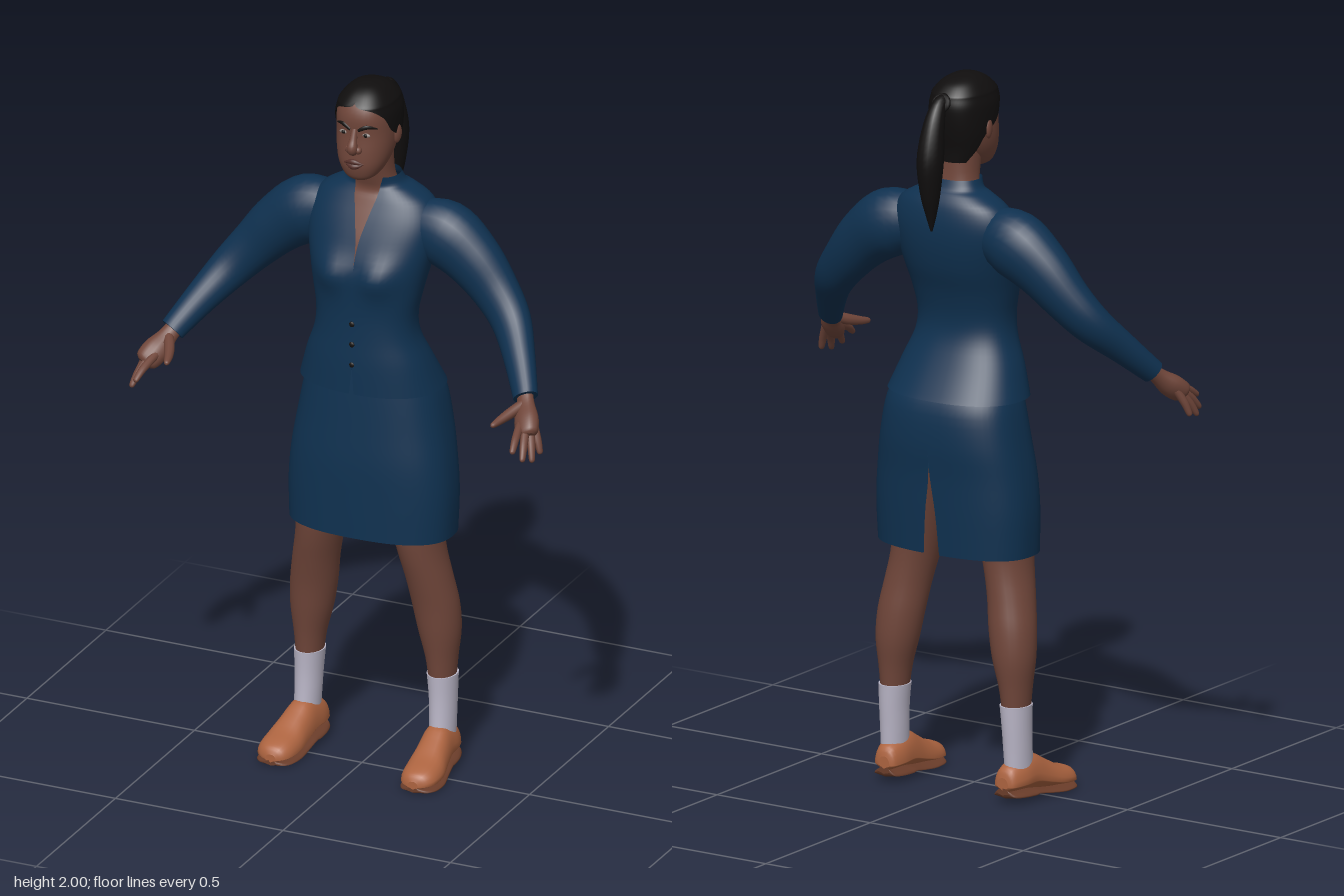
import * as THREE from 'three';

const V = (x, y, z) => new THREE.Vector3(x, y, z);

// Smoothly resample a table of section rows (k steps between rows)
function smooth(rows, k = 4) {
  const out = [];
  for (let i = 0; i < rows.length - 1; i++) {
    const a = rows[Math.max(i - 1, 0)], b = rows[i], c = rows[i + 1], d = rows[Math.min(i + 2, rows.length - 1)];
    for (let s = 0; s < k; s++) {
      const t = s / k;
      out.push(b.map((p, n) => {
        const cubic = 3 * (p - c[n]) + d[n] - a[n];
        const square = 2 * a[n] - 5 * p + 4 * c[n] - d[n];
        return p + 0.5 * t * (c[n] - a[n] + t * (square + t * cubic));
      }));
    }
  }
  out.push(rows[rows.length - 1]);
  return out;
}

// Skin a list of rings (first and last point of a ring meet at the seam)
function loft(rings, capStart, capEnd) {
  const m = rings[0].length, pos = [], idx = [];
  rings.forEach(r => r.forEach(p => pos.push(p.x, p.y, p.z)));
  for (let i = 0; i < rings.length - 1; i++) for (let j = 0; j < m - 1; j++) {
    const a = i * m + j, b = a + m;
    idx.push(a, a + 1, b + 1, a, b + 1, b);
  }
  const cap = (ring, flip) => {
    const c = ring.reduce((s, p) => s.add(p), V(0, 0, 0)).divideScalar(m), o = pos.length / 3;
    pos.push(c.x, c.y, c.z);
    ring.forEach(p => pos.push(p.x, p.y, p.z));
    for (let j = 1; j < m; j++) {
      if (flip) idx.push(o, o + j + 1, o + j);
      else idx.push(o, o + j, o + j + 1);
    }
  };
  if (capStart) cap(rings[0], true);
  if (capEnd) cap(rings[rings.length - 1], false);
  const g = new THREE.BufferGeometry();
  g.setAttribute('position', new THREE.Float32BufferAttribute(pos, 3));
  g.setIndex(idx);
  g.computeVertexNormals();
  // blend normals where the seam is closed
  const nr = g.attributes.normal;
  rings.forEach((r, i) => {
    if (r[0].distanceTo(r[m - 1]) > 1e-4) return;
    const a = i * m, b = a + m - 1;
    const n = V(nr.getX(a) + nr.getX(b), nr.getY(a) + nr.getY(b), nr.getZ(a) + nr.getZ(b)).normalize();
    nr.setXYZ(a, n.x, n.y, n.z);
    nr.setXYZ(b, n.x, n.y, n.z);
  });
  return g;
}

// Upright body section: rows are [y, centreX, halfWidth, zFront, zBack, seamGapAngle]
function body(rows, { seam = 0, power = 2.3, seg = 40, caps = [false, false], shape = null } = {}) {
  const pw = (v) => Math.sign(v) * Math.abs(v) ** (2 / power);
  return loft(smooth(rows).map(([y, cx, rx, zf, zb, gap = 0]) => {
    const g = Math.max(gap, 0), ring = [];
    for (let j = 0; j <= seg; j++) {
      const t = seam + g + (2 * Math.PI - 2 * g) * j / seg;
      const p = V(cx + rx * pw(Math.sin(t)), y, (zf + zb) / 2 + (zf - zb) / 2 * pw(Math.cos(t)));
      if (shape) shape(p, Math.cos(t));
      ring.push(p);
    }
    return ring;
  }), ...caps);
}

// Tapered tube through [x, y, z, radius]; flat squeezes it in depth
function limb(pts, { flat = 1, seg = 16 } = {}) {
  const rows = smooth(pts, 5);
  return loft(rows.map((r, i) => {
    const a = rows[Math.max(i - 1, 0)], b = rows[Math.min(i + 1, rows.length - 1)];
    const T = V(b[0] - a[0], b[1] - a[1], b[2] - a[2]).normalize();
    const N = V(0, 0, 1).cross(T).normalize(), B = T.clone().cross(N);
    return Array.from({ length: seg + 1 }, (_, j) => {
      const t = 2 * Math.PI * j / seg;
      return V(r[0], r[1], r[2]).addScaledVector(N, r[3] * Math.cos(t)).addScaledVector(B, r[3] * flat * Math.sin(t));
    });
  }), true, true);
}

function mirrored(geo) {
  const g = geo.clone().scale(-1, 1, 1), ix = g.index;
  for (let i = 0; i < ix.count; i += 3) {
    const t = ix.getX(i);
    ix.setX(i, ix.getX(i + 1));
    ix.setX(i + 1, t);
  }
  return g;
}

export function createModel() {
  const root = new THREE.Group();
  const mat = (name, color, side = THREE.FrontSide) => {
    const m = new THREE.MeshStandardMaterial({ color, side });
    m.name = name;
    return m;
  };
  const navy = mat('navy cloth', 0x0f3150, THREE.DoubleSide), skin = mat('brown skin', 0x70463a);
  const hair = mat('black hair', 0x100e0e, THREE.DoubleSide), sock = mat('pale sock', 0xb9b5c6);
  const leather = mat('tan leather', 0xad6440), sole = mat('brown sole', 0x6b3d2a);
  const lip = mat('dark lip', 0x55302a), dark = mat('near black', 0x15110f), white = mat('eye white', 0x8f8580);
  const add = (name, geo, m) => {
    const mesh = new THREE.Mesh(geo, m);
    mesh.name = name;
    root.add(mesh);
  };
  const pair = (name, geo, m) => {
    add('left ' + name, geo, m);
    add('right ' + name, mirrored(geo), m);
  };

  // Jacket, open in a V at the front
  const bust = (p, c) => {
    const dx = (Math.abs(p.x) - 0.075) / 0.055, dy = (p.y - 1.455) / 0.05;
    if (c > 0) p.z += 0.024 * c * Math.exp(-dx * dx - dy * dy);
  };
  add('jacket', body([
    [1.115, 0, .204, .068, -.217, .02], [1.2, 0, .176, .066, -.168, 0], [1.27, 0, .149, .062, -.136, 0],
    [1.33, 0, .143, .06, -.13, 0], [1.4, 0, .155, .06, -.145, 0], [1.47, 0, .17, .055, -.17, 0],
    [1.54, 0, .185, .035, -.185, .01], [1.6, 0, .187, .01, -.188, .06], [1.65, 0, .162, -.015, -.18, .14],
    [1.68, 0, .115, -.03, -.165, .26], [1.695, 0, .084, -.034, -.152, .4], [1.72, 0, .072, -.03, -.142, .6],
  ], { shape: bust, seg: 56 }), navy);
  for (let i = 0; i < 3; i++)
    add('button', new THREE.SphereGeometry(.008, 10, 6).scale(1, 1, .5).translate(0, 1.2 + i * .06, .065), dark);

  // Skirt with a slit at the back
  add('skirt', body([
    [.685, 0, .237, .058, -.207, .06], [.8, 0, .24, .058, -.213, .035], [.9, 0, .232, .057, -.218, .004],
    [1, 0, .216, .05, -.226, 0], [1.1, 0, .196, .042, -.216, 0], [1.17, 0, .17, .035, -.17, 0],
  ], { seam: Math.PI, power: 2.5, seg: 56 }), navy);

  // Neck and upper chest
  add('neck', body([
    [1.48, 0, .14, .04, -.12], [1.54, 0, .14, .024, -.13], [1.6, 0, .14, -.002, -.14], [1.65, 0, .115, -.026, -.145],
    [1.68, 0, .075, -.038, -.138], [1.72, 0, .057, -.026, -.128], [1.8, 0, .055, 0, -.125],
  ]), skin);

  // Head
  const headRows = [
    [1.735, 0, .026, .034, -.02], [1.748, 0, .047, .045, -.05], [1.78, 0, .066, .054, -.085], [1.82, 0, .077, .054, -.115],
    [1.87, 0, .081, .05, -.132], [1.92, 0, .08, .052, -.14], [1.96, 0, .068, .036, -.125], [1.985, 0, .042, .005, -.095],
  ];
  add('head', body(headRows, { caps: [true, true] }), skin);
  const faceZ = (x, y) => {
    const r = smooth(headRows, 8).reduce((a, b) => (Math.abs(b[0] - y) < Math.abs(a[0] - y) ? b : a));
    return (r[3] + r[4]) / 2 + (r[3] - r[4]) / 2 * (1 - (Math.abs(x) / r[2]) ** 2.3) ** (1 / 2.3);
  };
  const onFace = (pts) => pts.map(([x, y, r]) => [x, y, faceZ(x, y), r]);
  add('nose', limb([[0, 1.89, .046, .008], [0, 1.86, .056, .011], [0, 1.838, .063, .015], [0, 1.825, .054, .012]]), skin);
  pair('nostril', new THREE.SphereGeometry(.011, 10, 8).translate(.014, 1.832, .054), skin);
  add('upper lip', limb(onFace([[-.028, 1.79, .002], [0, 1.796, .008], [.028, 1.79, .002]])), lip);
  add('lower lip', limb(onFace([[-.024, 1.788, .002], [0, 1.782, .009], [.024, 1.788, .002]])), lip);
  pair('eyebrow', limb(onFace([[.012, 1.888, .004], [.035, 1.9, .006], [.06, 1.893, .002]]), { flat: .6 }), dark);
  pair('eye', new THREE.SphereGeometry(.013, 12, 8).scale(1, .45, .35).translate(.033, 1.876, faceZ(.033, 1.876)), white);
  pair('iris', new THREE.SphereGeometry(.006, 10, 8).scale(1, .9, .6).translate(.033, 1.876, faceZ(.033, 1.876) + .003), dark);
  pair('ear', new THREE.SphereGeometry(.026, 12, 10).scale(.35, 1.1, .65).rotateY(-.3).translate(.081, 1.855, -.05), skin);

  // Swept-back hair and ponytail
  add('hair', body([
    [1.765, 0, .058, .02, -.128, 2.3], [1.8, 0, .073, .035, -.132, 2], [1.84, 0, .083, .05, -.142, 1.75],
    [1.88, 0, .086, .055, -.15, 1.25], [1.92, 0, .085, .058, -.154, 1], [1.945, 0, .079, .055, -.15, .6],
    [1.957, 0, .075, .05, -.145, .05], [1.98, 0, .056, .025, -.12, 0], [1.994, 0, .034, -.002, -.085, 0], [2, 0, .008, -.03, -.05, 0],
  ], { caps: [false, true], seg: 48 }), hair);
  add('hair tie', new THREE.TorusGeometry(.02, .009, 8, 16).rotateX(.5).translate(0, 1.937, -.16), hair);
  add('ponytail', limb([
    [0, 1.945, -.13, .016], [0, 1.935, -.168, .02], [0, 1.88, -.195, .03], [0, 1.79, -.212, .037],
    [0, 1.7, -.212, .028], [0, 1.64, -.208, .016], [0, 1.59, -.206, .003],
  ], { flat: 1.05 }), hair);

  // Sleeves
  pair('sleeve', limb([
    [.11, 1.575, -.09, .07], [.2, 1.562, -.1, .094], [.285, 1.505, -.096, .083], [.36, 1.428, -.084, .068],
    [.42, 1.36, -.055, .058], [.475, 1.288, .01, .046], [.527, 1.212, .082, .036],
  ], { flat: .85, seg: 24 }), navy);

  // Hands: palm, four fingers and thumb
  pair('palm', limb([
    [.513, 1.235, .062, .024], [.533, 1.2, .095, .026], [.552, 1.168, .13, .037], [.568, 1.145, .158, .033], [.573, 1.138, .166, .02],
  ], { flat: .75 }), skin);
  [[.548, 1.152, .172, .563, 1.116, .245], [.565, 1.143, .166, .584, 1.088, .225],
    [.575, 1.138, .152, .598, 1.076, .192], [.58, 1.14, .133, .603, 1.085, .15]].forEach(([a, b, c, x, y, z], i) => {
    const f = (t, lift, r) => [a + (x - a) * t, b + (y - b) * t + lift, c + (z - c) * t, r];
    pair('finger ' + (i + 1), limb([f(-.3, 0, .012), f(.1, .004, .0115), f(.55, .006, .0105), f(.92, .001, .008), f(1, 0, .003)], { seg: 10 }), skin);
  });
  pair('thumb', limb([
    [.53, 1.2, .1, .015], [.51, 1.185, .138, .015], [.495, 1.175, .175, .012], [.487, 1.17, .203, .008], [.485, 1.169, .21, .003],
  ], { seg: 10 }), skin);

  // Legs
  pair('leg', body([
    [.25, .198, .036, -.045, -.135], [.32, .196, .044, -.038, -.142], [.4, .19, .059, -.026, -.152], [.48, .181, .065, -.015, -.15],
    [.56, .168, .064, .002, -.14], [.64, .152, .065, .02, -.135], [.72, .14, .072, .03, -.14], [.9, .12, .09, .035, -.17],
  ], { power: 2, seg: 28 }), skin);

  // Socks
  pair('sock', body([
    [.09, .202, .034, -.035, -.132], [.15, .201, .036, -.04, -.135], [.21, .2, .038, -.042, -.139], [.27, .198, .042, -.04, -.142],
  ], { power: 2, seg: 28, caps: [false, true] }), sock);

  // Shoes: sections from heel to toe as [z, centreX, halfWidth, bottom, top]
  const shoeRows = [
    [-.15, .194, .018, .04, .075], [-.14, .196, .034, .03, .1], [-.1, .199, .045, .026, .118], [-.05, .202, .046, .022, .13],
    [0, .207, .05, .014, .105], [.05, .212, .056, .009, .078], [.095, .214, .052, .008, .064], [.12, .213, .037, .009, .052], [.13, .212, .016, .012, .035],
  ];
  const shoe = (bottom, top, widen) => loft(smooth(shoeRows).map(([z, cx, hw, b, t]) => {
    const lo = bottom(b, z), h = top(b, t) - lo;
    return Array.from({ length: 25 }, (_, j) => {
      const a = 2 * Math.PI * j / 24, s = Math.sin(a), c = Math.cos(a);
      const rise = s < 0 ? .3 * Math.max(0, 1 + s) ** .3 : .3 + .7 * s;
      return V(cx + hw * widen * Math.sign(c) * Math.abs(c) ** .8, lo + h * rise, z);
    });
  }), true, true);
  pair('shoe', shoe(b => b, (b, t) => t, 1), leather);
  pair('sole', shoe((b, z) => Math.max(0, b - (z < -.06 ? .014 : .009)), b => b + .006, 1.04), sole);
  return root;
}
